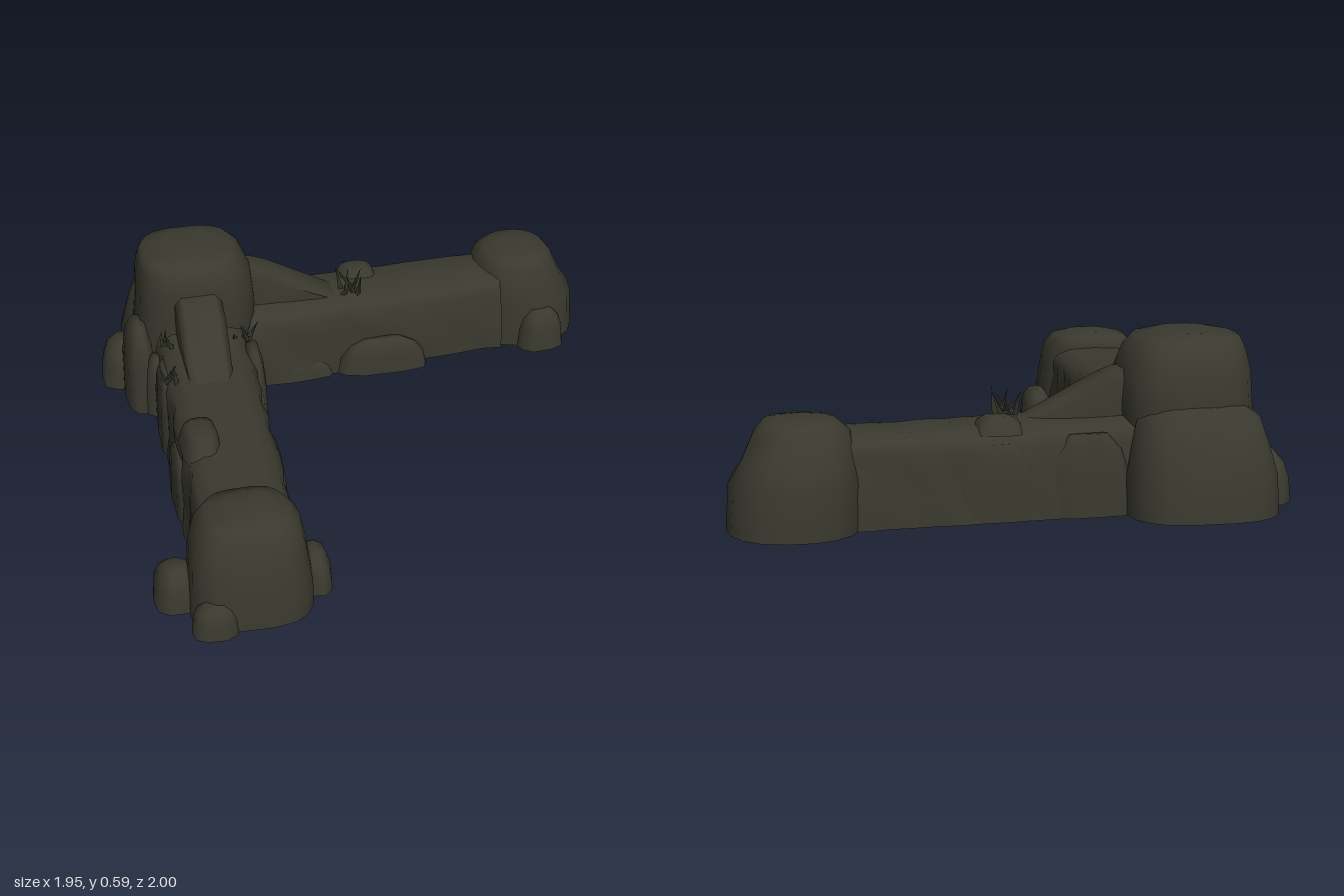
import * as THREE from 'three';

// Hollow shells, open to the ground
const stone = new THREE.MeshStandardMaterial({ color: 0x3a392f, side: THREE.DoubleSide });
stone.name = 'dark stone';
const leaf = new THREE.MeshStandardMaterial({ color: 0x37382b, side: THREE.DoubleSide });
leaf.name = 'dark grass';

// Seeded noise in -1..1
let seed = 7;
const rnd = () => {
  seed = (seed * 16807) % 2147483647;
  return (seed / 2147483647) * 2 - 1;
};

// Skin over rows of points; a closed skin wraps round and is capped on its last row
function loft(rows, closed) {
  const n = rows[0].length, pos = rows.flat(2), idx = [];
  for (let j = 0; j < rows.length - 1; j++) {
    for (let i = 0; i < (closed ? n : n - 1); i++) {
      const a = j * n + i, b = j * n + (i + 1) % n;
      idx.push(a, a + n, b, b, a + n, b + n);
    }
  }
  if (closed) {
    const top = rows[rows.length - 1], first = (rows.length - 1) * n, centre = rows.length * n;
    pos.push(...[0, 1, 2].map(k => top.reduce((s, p) => s + p[k], 0) / n));
    for (let i = 0; i < n; i++) idx.push(centre, first + (i + 1) % n, first + i);
  }
  const g = new THREE.BufferGeometry();
  g.setAttribute('position', new THREE.Float32BufferAttribute(pos, 3));
  g.setIndex(idx);
  g.computeVertexNormals();
  return g;
}

function mesh(name, geometry, material = stone) {
  const m = new THREE.Mesh(geometry, material);
  m.name = name;
  return m;
}

// Boulder from level rings [y, xMin, xMax, zMin, zMax], squarish in plan
function boulder(name, rings, wobble = 0.02, seg = 18, power = 0.7) {
  const lumps = Array.from({ length: seg }, () => 1 + rnd() * wobble);
  return mesh(name, loft(rings.map(([y, x0, x1, z0, z1]) => lumps.map((k, i) => {
    const t = (i / seg) * Math.PI * 2, c = Math.cos(t), s = Math.sin(t);
    return [
      (x0 + x1) / 2 + (x1 - x0) / 2 * k * Math.sign(c) * Math.abs(c) ** power,
      y,
      (z0 + z1) / 2 + (z1 - z0) / 2 * k * Math.sign(s) * Math.abs(s) ** power,
    ];
  })), true));
}

// Small tapering stone on the ground
function smallStone(name, x0, x1, z0, z1, h) {
  const cx = (x0 + x1) / 2, cz = (z0 + z1) / 2;
  const ring = (f, k) => [0.005 + f * h, cx + (x0 - cx) * k, cx + (x1 - cx) * k, cz + (z0 - cz) * k, cz + (z1 - cz) * k];
  return boulder(name, [ring(0, 1), ring(0.5, 0.92), ring(0.8, 0.74), ring(1, 0.42)], 0.08, 10, 0.8);
}

// Rough wall along local +z, open below
function wall(name, length, halfWidth, endScale) {
  const half = [[1.08, 0.005], [1.06, 0.09], [1.01, 0.19], [0.97, 0.25], [0.87, 0.295], [0.6, 0.32]];
  const profile = [...half.map(([u, y]) => [-u, y]), [0, 0.325], ...half.slice().reverse()];
  const steps = 14, rows = [];
  for (let j = 0; j <= steps; j++) {
    const f = j / steps, w = halfWidth * (1 + (endScale - 1) * f);
    rows.push(profile.map(([u, y]) => [
      u * w + (y < 0.28 ? rnd() * 0.01 : 0),
      y > 0.25 ? y - 0.014 * f + rnd() * 0.003 : y,
      f * length,
    ]));
  }
  return mesh(name, loft(rows, false));
}

// Sloping brace along local +z, from the corner pillar down to the wall top
function buttress(name, halfWidth) {
  const row = (z, top, w) => [[-w, 0.3], [-w, top - 0.035], [-w * 0.7, top], [w * 0.7, top], [w, top - 0.035], [w, 0.3]].map(([x, y]) => [x, Math.max(y, 0.28), z]);
  return mesh(name, loft([row(0.22, 0.48, halfWidth), row(0.28, 0.475, halfWidth), row(0.34, 0.452, halfWidth), row(0.6, 0.315, halfWidth * 0.9)], false));
}

// Tuft of thin leaning blades
function tuft(name, x, y, z, blades, size) {
  const g = new THREE.Group();
  g.name = name;
  for (let i = 0; i < blades; i++) {
    const cone = new THREE.ConeGeometry(0.012, size, 3);
    cone.translate(0, size / 2, 0);
    const b = mesh('blade', cone, leaf);
    b.rotation.set(0, (i / blades) * Math.PI * 2 + rnd() * 0.4, 0.55 + 0.4 * rnd(), 'YXZ');
    b.position.set(x + 0.04 * rnd(), y, z + 0.03 * rnd());
    g.add(b);
  }
  return g;
}

export function createModel() {
  const model = new THREE.Group();
  model.name = 'ruined corner wall';

  // Two walls meeting at the corner
  const frontWall = wall('frontWall', 1.17, 0.183, 0.9);
  frontWall.position.set(-0.593, 0, -0.5);
  const sideWall = wall('sideWall', 1.12, 0.168, 0.89);
  sideWall.position.set(-0.5, 0, -0.633);
  sideWall.rotation.y = Math.PI / 2 + 0.08;
  model.add(frontWall, sideWall);

  // Tall corner pillar and the boulders at its foot
  model.add(boulder('cornerPillar', [
    [0.005, -0.85, -0.38, -0.87, -0.4],
    [0.2, -0.84, -0.375, -0.87, -0.405],
    [0.36, -0.82, -0.36, -0.87, -0.41],
    [0.47, -0.815, -0.37, -0.855, -0.415],
    [0.54, -0.8, -0.4, -0.825, -0.43],
    [0.58, -0.785, -0.435, -0.785, -0.46],
    [0.597, -0.7, -0.52, -0.73, -0.51],
  ], 0.015));
  model.add(boulder('backBoulder', [
    [0.005, -0.88, -0.36, -1.005, -0.65],
    [0.14, -0.875, -0.36, -0.995, -0.65],
    [0.24, -0.85, -0.38, -0.955, -0.66],
    [0.33, -0.82, -0.4, -0.925, -0.67],
    [0.37, -0.76, -0.45, -0.87, -0.7],
  ], 0.02, 18, 0.75));
  [
    [-0.975, -0.78, -0.79, -0.55, 0.17],
    [-0.9, -0.76, -0.66, -0.37, 0.33],
    [-0.83, -0.7, -0.47, -0.34, 0.24],
  ].forEach(a => model.add(smallStone('cornerFootStone', ...a)));

  // End boulder of the front wall
  model.add(boulder('frontEndBoulder', [
    [0.005, -0.82, -0.395, 0.61, 0.965],
    [0.1, -0.815, -0.395, 0.61, 0.96],
    [0.22, -0.805, -0.41, 0.615, 0.94],
    [0.31, -0.78, -0.425, 0.62, 0.91],
    [0.35, -0.74, -0.46, 0.63, 0.88],
    [0.367, -0.67, -0.52, 0.68, 0.82],
  ]));
  // End boulder of the side wall
  model.add(boulder('sideEndBoulder', [
    [0.005, 0.53, 0.975, -1, -0.55],
    [0.16, 0.53, 0.965, -0.995, -0.555],
    [0.23, 0.54, 0.92, -0.965, -0.57],
    [0.32, 0.56, 0.88, -0.93, -0.585],
    [0.355, 0.6, 0.85, -0.89, -0.62],
    [0.367, 0.66, 0.79, -0.83, -0.69],
  ], 0.015, 18, 0.88));
  [
    [-0.93, -0.77, 0.64, 0.84, 0.14],
    [-0.44, -0.315, 0.63, 0.84, 0.13],
    [-0.83, -0.66, 0.87, 1, 0.11],
    [0.69, 0.89, -0.64, -0.49, 0.16],
  ].forEach(a => model.add(smallStone('endFootStone', ...a)));

  // Flat stones bulging from the wall sides
  [
    [-0.797, -0.73, 0, 0.36, 0.2],
    [-0.8, -0.72, -0.42, -0.06, 0.28],
    [-0.45, -0.385, -0.02, 0.35, 0.16],
    [-0.47, -0.365, -0.43, -0.17, 0.3],
    [-0.38, -0.08, -0.85, -0.77, 0.28],
    [-0.08, 0.27, -0.86, -0.78, 0.26],
    [-0.06, 0.32, -0.55, -0.46, 0.14],
    [-0.36, -0.06, -0.54, -0.475, 0.08],
  ].forEach(a => model.add(smallStone('wallStone', ...a)));

  // Sloping braces beside the pillar
  const frontButtress = buttress('frontButtress', 0.09);
  frontButtress.position.set(-0.6, 0, -0.66);
  const sideButtress = buttress('sideButtress', 0.07);
  sideButtress.position.set(-0.64, 0, -0.64);
  sideButtress.rotation.y = Math.PI / 2;
  model.add(frontButtress, sideButtress);

  // Low slabs along the outer edges of the wall tops
  model.add(
    boulder('sideTopSlab', [[0.29, -0.02, 0.15, -0.83, -0.68], [0.33, 0, 0.135, -0.81, -0.69], [0.345, 0.03, 0.11, -0.79, -0.71]], 0.04),
    boulder('frontTopSlab', [[0.27, -0.765, -0.62, 0.13, 0.39], [0.33, -0.75, -0.63, 0.16, 0.37], [0.35, -0.73, -0.65, 0.2, 0.33]], 0.04),
  );

  // Grass tufts
  model.add(
    tuft('sideTuft', 0.01, 0.315, -0.61, 7, 0.1),
    tuft('frontTuft', -0.76, 0.29, -0.13, 5, 0.08),
    tuft('cornerTuft', -0.73, 0.315, -0.36, 4, 0.07),
    tuft('innerTuft', -0.45, 0.315, -0.35, 5, 0.07),
  );
  return model;
}
